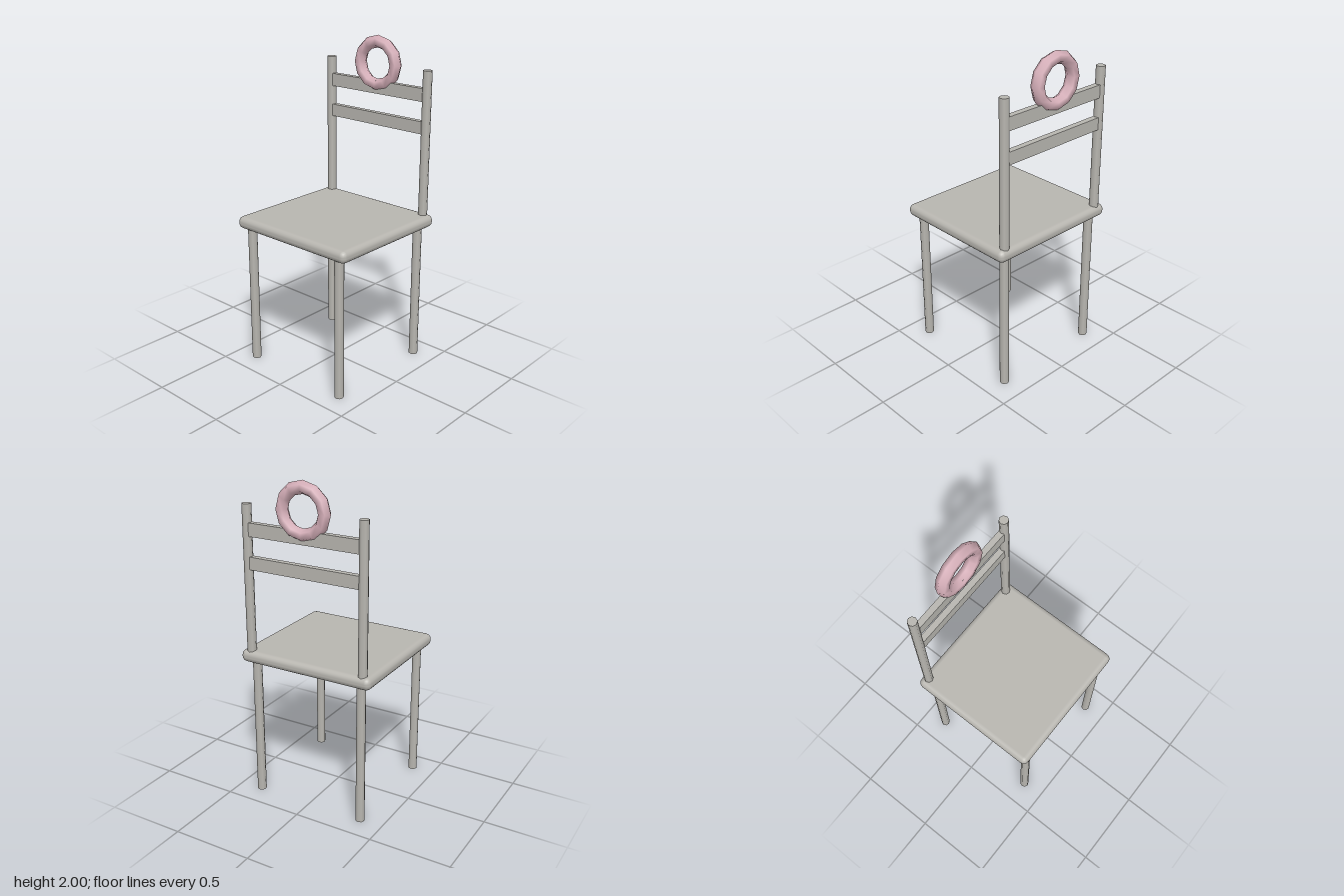
import * as THREE from 'three';
import { RoundedBoxGeometry } from 'three/addons/geometries/RoundedBoxGeometry.js';

export function createModel() {
  const chair = new THREE.Group();
  chair.name = 'chair';

  const grey = new THREE.MeshStandardMaterial({ color: 0xb8b6b0 });
  grey.name = 'warm grey';
  const pink = new THREE.MeshStandardMaterial({ color: 0xd9b2bc });
  pink.name = 'dusty pink';

  function add(name, geometry, material, x, y, z) {
    const mesh = new THREE.Mesh(geometry, material);
    mesh.name = name;
    mesh.position.set(x, y, z);
    chair.add(mesh);
    return mesh;
  }

  // Upright eight-sided rod between two heights
  function rod(name, x, z, bottom, top) {
    const geometry = new THREE.CylinderGeometry(0.028, 0.028, top - bottom, 8);
    add(name, geometry, grey, x, (bottom + top) / 2, z);
  }

  // Seat with softened edges
  add('seat', new RoundedBoxGeometry(0.87, 0.076, 0.83, 2, 0.034), grey, 0, 0.914, -0.002);

  // Legs and back posts, mirrored left and right
  for (const [side, s] of [['left', 1], ['right', -1]]) {
    rod(side + 'FrontLeg', s * 0.355, 0.359, 0, 0.89);
    rod(side + 'BackLeg', s * 0.355, -0.355, 0, 0.89);
    rod(side + 'BackPost', s * 0.375, -0.377, 0.93, 1.833);
  }

  // Flat rails across the back
  add('upperRail', new THREE.BoxGeometry(0.72, 0.079, 0.037), grey, 0, 1.687, -0.378);
  add('lowerRail', new THREE.BoxGeometry(0.72, 0.076, 0.037), grey, 0, 1.491, -0.378);

  // Ring ornament on top of the upper rail
  const ring = add('ring', new THREE.TorusGeometry(0.136, 0.039, 6, 12), pink, 0, 1.83, -0.379);
  ring.scale.y = 0.97;

  return chair;
}
